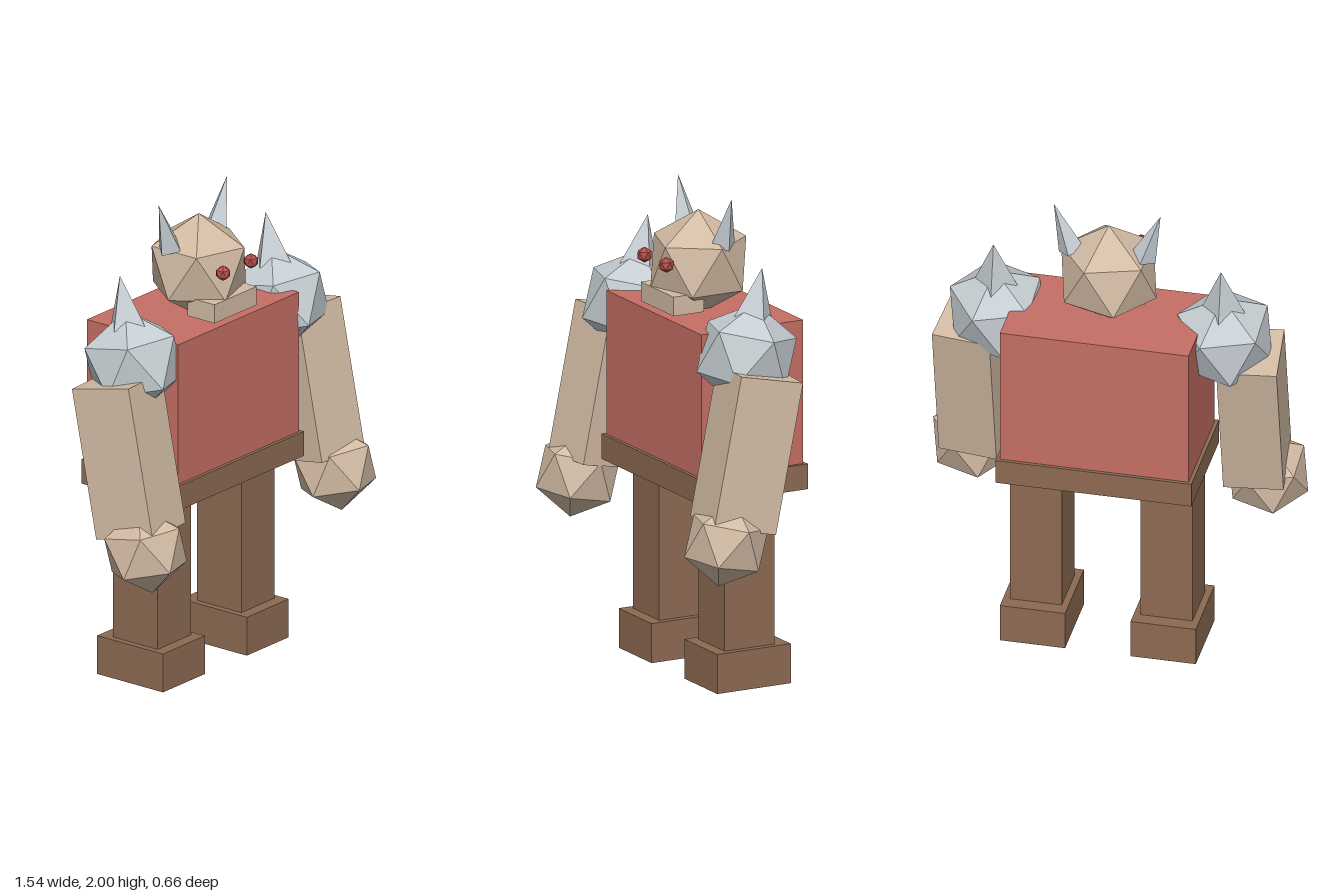
import * as THREE from 'three';
import { ConvexGeometry } from 'three/addons/geometries/ConvexGeometry.js';

function flat(name, color) {
  const m = new THREE.MeshStandardMaterial({ color, flatShading: true });
  m.name = name;
  return m;
}

const DEPTH = -0.08; // z of the body's middle plane
const TILT = -0.2; // forward swing of the arms

// Icosahedron standing on a vertex
function gem(radius) {
  const h = 1 / Math.sqrt(5), r = 2 * h;
  const pts = [new THREE.Vector3(0, 1, 0), new THREE.Vector3(0, -1, 0)];
  for (let i = 0; i < 5; i++) {
    const a = (i * Math.PI * 2) / 5;
    pts.push(new THREE.Vector3(r * Math.cos(a), h, r * Math.sin(a)));
    pts.push(new THREE.Vector3(-r * Math.cos(a), -h, r * Math.sin(a)));
  }
  return new ConvexGeometry(pts.map((p) => p.multiplyScalar(radius)));
}

export function createModel() {
  const model = new THREE.Group();
  model.name = 'hornedBrute';

  const skin = flat('skin', 0xd2bba4);
  const red = flat('redTunic', 0xc56f64);
  const brown = flat('brownLeather', 0x8d6a52);
  const steel = flat('steel', 0xc5cdd2);
  const eyeRed = flat('eyeRed', 0xb5504c);

  function add(name, geometry, material, x, y, z, rx = 0, ry = 0, rz = 0) {
    const mesh = new THREE.Mesh(geometry, material);
    mesh.name = name;
    mesh.position.set(x, y, z);
    mesh.rotation.set(rx, ry, rz);
    model.add(mesh);
    return mesh;
  }
  const box = (w, h, d) => new THREE.BoxGeometry(w, h, d);

  // Body
  add('torso', box(0.78, 0.6, 0.47), red, 0, 1.205, DEPTH);
  add('belt', box(0.81, 0.105, 0.5), brown, 0, 0.8525, DEPTH);

  // Head
  add('head', gem(0.22), skin, 0, 1.69, -0.05);
  add('jaw', box(0.27, 0.08, 0.14), skin, 0, 1.56, 0.07);

  for (const s of [1, -1]) {
    const side = s > 0 ? 'left' : 'right';

    // Face
    add(side + 'Eye', gem(0.033), eyeRed, s * 0.09, 1.725, 0.148);
    add(side + 'Horn', new THREE.ConeGeometry(0.055, 0.218, 4), steel,
      s * 0.184, 1.8975, DEPTH, 0, 0, -s * 0.34);

    // Legs
    add(side + 'Leg', box(0.215, 0.63, 0.23), brown, s * 0.27, 0.475, DEPTH + 0.005);
    add(side + 'Foot', box(0.27, 0.165, 0.34), brown, s * 0.27, 0.0825, DEPTH);

    // Arms
    add(side + 'Arm', box(0.245, 0.63, 0.275), skin, s * 0.576, 1.058, 0.05, TILT, -s * 0.105, 0);
    add(side + 'Fist', gem(0.18), skin, s * 0.61, 0.69, 0.164, TILT);

    // Spiked shoulder armour
    const pad = add(side + 'ShoulderPad', gem(0.215), steel, s * 0.47, 1.419, -0.009, TILT);
    const spike = new THREE.Mesh(new THREE.ConeGeometry(0.09, 0.21, 4), steel);
    spike.name = side + 'ShoulderSpike';
    spike.position.y = 0.255;
    pad.add(spike);
  }
  return model;
}
